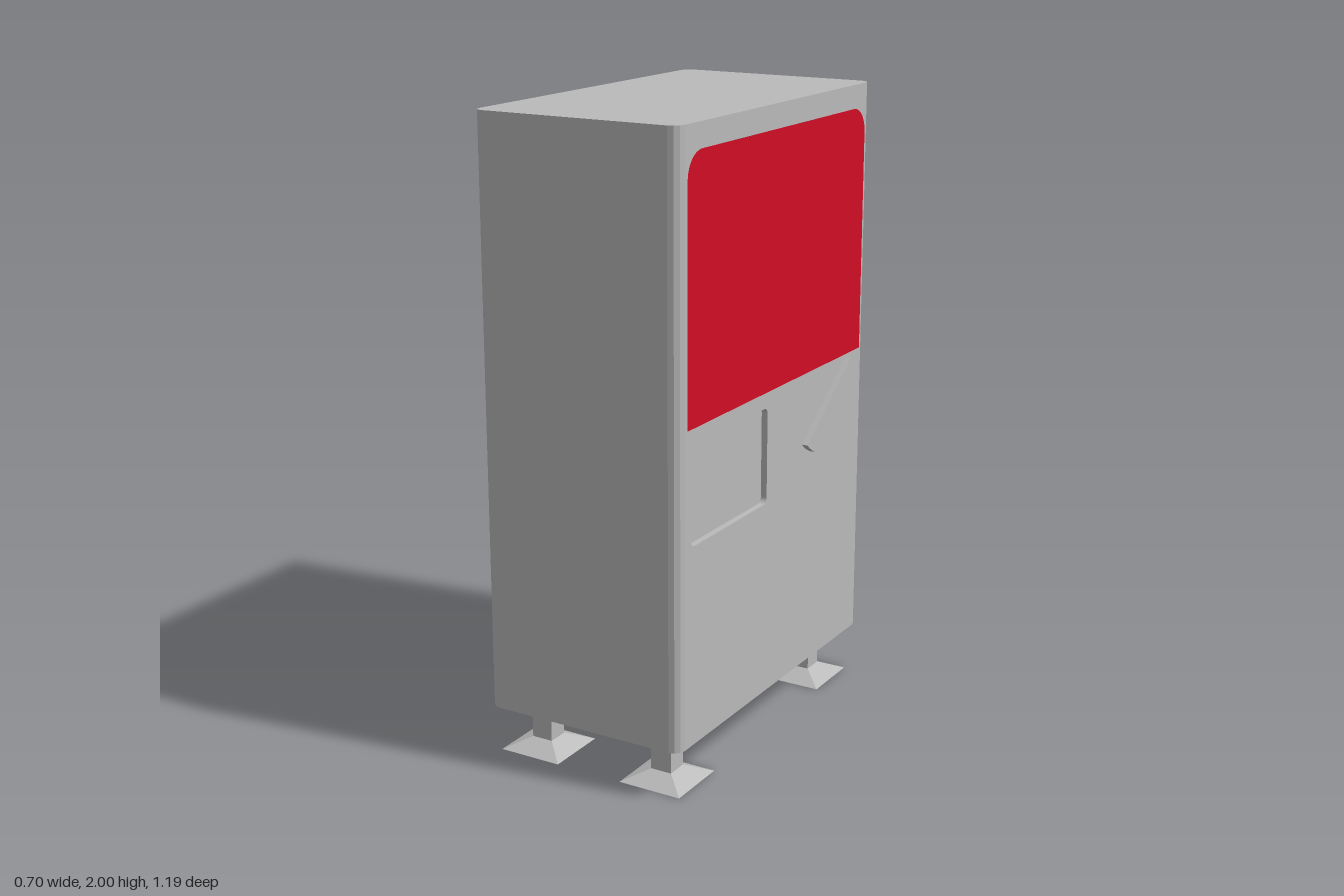
import * as THREE from 'three';

const steel = new THREE.MeshStandardMaterial({ color: 0xbababa });
steel.name = 'light grey';
const red = new THREE.MeshStandardMaterial({ color: 0xd00d23 });
red.name = 'red';

const X0 = -0.35, X1 = 0.33, ZH = 0.595; // cabinet sides
const Y0 = 0.16, Y1 = 2; // cabinet underside and top
const R = 0.035; // vertical edge rounding
const DEPTH = 0.02; // tray recess depth

function mesh(name, geometry, material = steel) {
  const m = new THREE.Mesh(geometry, material);
  m.name = name;
  return m;
}

// Counter-clockwise rectangle with separate bottom and top corner radii
function roundRect(x0, y0, x1, y1, rBottom, rTop, Type = THREE.Shape) {
  const s = new Type();
  s.moveTo(x0 + rBottom, y0);
  s.lineTo(x1 - rBottom, y0);
  if (rBottom) s.absarc(x1 - rBottom, y0 + rBottom, rBottom, -Math.PI / 2, 0);
  s.lineTo(x1, y1 - rTop);
  s.absarc(x1 - rTop, y1 - rTop, rTop, 0, Math.PI / 2);
  s.lineTo(x0 + rTop, y1);
  s.absarc(x0 + rTop, y1 - rTop, rTop, Math.PI / 2, Math.PI);
  s.lineTo(x0, y0 + rBottom);
  if (rBottom) s.absarc(x0 + rBottom, y0 + rBottom, rBottom, Math.PI, Math.PI * 1.5);
  return s;
}

// Flat-shaded strip of quads between two rows of points
function strip(low, high) {
  const pts = [];
  for (let i = 0; i + 1 < low.length; i++) {
    pts.push(low[i], high[i], low[i + 1], high[i], high[i + 1], low[i + 1]);
  }
  const g = new THREE.BufferGeometry().setFromPoints(pts);
  g.computeVertexNormals();
  return g;
}

// Turns a drawing of (-z, y) to lie on the +x side at the given x
const onSide = (g, x) => g.rotateY(Math.PI / 2).translate(x, 0, 0);

function cabinet() {
  const g = new THREE.Group();
  g.name = 'cabinet';

  // Plan outline from the service side's front edge around to its back edge
  const plan = [];
  const corners = [[X1 - R, ZH - R], [X0 + R, ZH - R], [X0 + R, -ZH + R], [X1 - R, -ZH + R]];
  corners.forEach(([cx, cz], k) => {
    for (let i = 0; i <= 3; i++) {
      const a = (k + i / 3) * Math.PI / 2;
      plan.push(new THREE.Vector2(cx + R * Math.cos(a), cz + R * Math.sin(a)));
    }
  });
  const row = y => plan.map(p => new THREE.Vector3(p.x, y, p.y));
  g.add(mesh('cabinetWalls', strip(row(Y0), row(Y1))));

  const lid = new THREE.ShapeGeometry(new THREE.Shape(plan));
  g.add(mesh('cabinetTop', lid.clone().rotateX(-Math.PI / 2).translate(0, Y1, 0)));
  g.add(mesh('cabinetUnderside', lid.rotateX(Math.PI / 2).translate(0, Y0, 0)));

  // Service side with the opening for the tray recess
  const recess = [-0.525, 0.785, -0.07, 1.09, 0.02, 0.02];
  const e = ZH - R;
  const face = new THREE.Shape([[-e, Y0], [e, Y0], [e, Y1], [-e, Y1]]
    .map(([u, v]) => new THREE.Vector2(u, v)));
  face.holes.push(roundRect(...recess, THREE.Path));
  g.add(mesh('servicePanel', onSide(new THREE.ShapeGeometry(face, 4), X1)));

  const floor = roundRect(...recess);
  const edge = floor.getPoints(4);
  edge.push(edge[0].clone());
  const rim = x => edge.map(p => new THREE.Vector3(x, p.y, -p.x));
  g.add(mesh('recessWalls', strip(rim(X1 - DEPTH), rim(X1))));
  g.add(mesh('recessBack', onSide(new THREE.ShapeGeometry(floor, 4), X1 - DEPTH)));
  return g;
}

// Raised plate with two straight edges and a round lower edge
function roundedPlate() {
  const cx = 0.29, cy = 1.05, r = 0.19, top = 1.13, left = 0.16;
  const s = new THREE.Shape();
  s.moveTo(left, top);
  s.absarc(cx, cy, r, Math.PI + Math.acos((cx - left) / r),
    2 * Math.PI + Math.asin((top - cy) / r));
  s.closePath();
  const g = new THREE.ExtrudeGeometry(s, { depth: 0.02, bevelEnabled: false, curveSegments: 12 });
  return mesh('roundedPlate', onSide(g, X1));
}

// Square post on a flared square pad
function foot(x, z) {
  const g = new THREE.Group();
  g.name = 'foot';
  const pad = new THREE.CylinderGeometry(0.035 * Math.SQRT2, 0.105 * Math.SQRT2, 0.033, 4)
    .rotateY(Math.PI / 4).translate(0, 0.0165, 0).toNonIndexed();
  pad.computeVertexNormals();
  const post = new THREE.BoxGeometry(0.07, Y0 - 0.033, 0.07)
    .translate(0, (Y0 + 0.033) / 2, 0);
  g.add(mesh('footPad', pad), mesh('footPost', post));
  g.position.set(x, 0, z);
  return g;
}

export function createModel() {
  const model = new THREE.Group();
  model.name = 'cabinetOnFeet';
  model.add(cabinet(), roundedPlate());

  // Red display panel with rounded upper corners
  const panel = new THREE.ShapeGeometry(roundRect(-0.55, 1.14, 0.552, 1.926, 0, 0.08), 5);
  model.add(mesh('displayPanel', onSide(panel, X1 + 0.003), red));

  for (const x of [-0.23, 0.205]) {
    for (const z of [0.455, -0.445]) model.add(foot(x, z));
  }
  return model;
}
